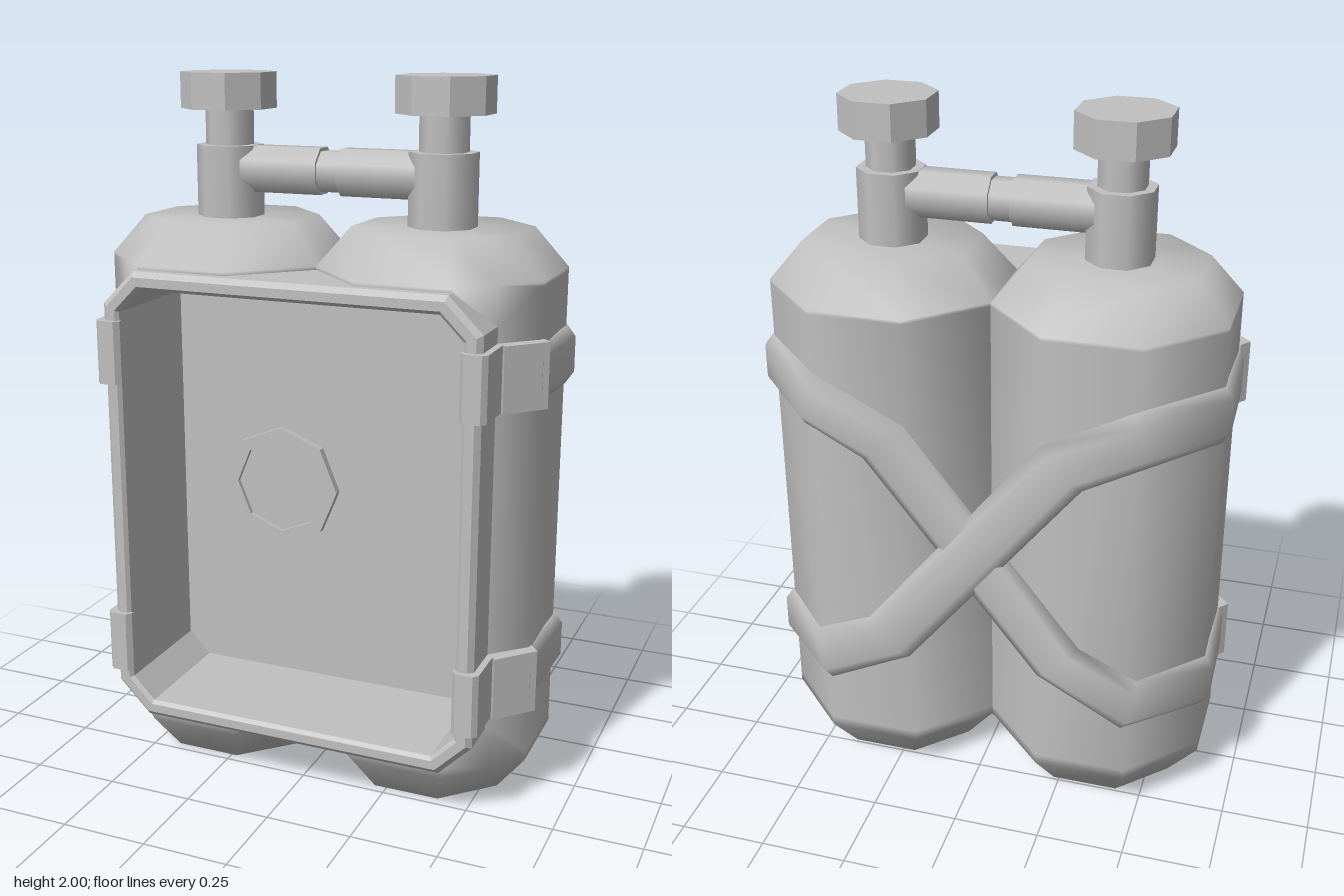
import * as THREE from 'three';

const V = (x, y, z) => new THREE.Vector3(x, y, z);

// Skin between successive closed rings of points
function loft(rings, flat) {
  const n = rings[0].length, idx = [];
  for (let j = 0; j < rings.length - 1; j++) {
    for (let i = 0; i < n; i++) {
      const k = (i + 1) % n;
      const a = j * n + i, b = j * n + k, c = b + n, d = a + n;
      idx.push(a, b, c, a, c, d);
    }
  }
  let g = new THREE.BufferGeometry().setFromPoints(rings.flat());
  g.setIndex(idx);
  if (flat) g = g.toNonIndexed();
  g.computeVertexNormals();
  return g;
}

// Eight-sided tank with an opening where the front tray sits; s = side (+1 / -1)
function tankGeometry(s) {
  const R = 0.346, mid = Math.cos(Math.PI / 8);
  // angle, radius factor, opening bottom, opening top, is on the opening
  const cols = [
    [22.5, 1, 0.15, 1.48, 0], [45, mid, 0.26, 1.38, 1], [67.5, 1, 0.15, 1.48, 1],
    [112.5, 1, 0.15, 1.48, 1], [157.5, 1, 0.15, 1.48, 1], [180, mid, 0.15, 1.48, 1],
    [202.5, 1, 0.15, 1.48, 0], [247.5, 1, 0.15, 1.48, 0],
    [292.5, 1, 0.15, 1.48, 0], [337.5, 1, 0.15, 1.48, 0],
  ];
  const pts = [], idx = [], rows = 8;
  for (const [deg, f, low, high] of cols) {
    const t = THREE.MathUtils.degToRad(deg);
    const profile = [[0, 0], [0.25, 0], [R, 0.12], [R, low], [R, high], [R, 1.49], [0.25, 1.6], [0, 1.6]];
    for (const [r, y] of profile) {
      pts.push(V(s * (0.32 + r * f * Math.cos(t)), y, r * f * Math.sin(t) - 0.01));
    }
  }
  cols.forEach((col, i) => {
    const k = (i + 1) % cols.length;
    for (let j = 0; j < rows - 1; j++) {
      if (j === 3 && col[4] && cols[k][4]) continue;
      const a = i * rows + j, b = k * rows + j, c = b + 1, d = a + 1;
      if (s > 0) idx.push(a, d, c, a, c, b);
      else idx.push(a, c, d, a, b, c);
    }
  });
  const g = new THREE.BufferGeometry().setFromPoints(pts);
  g.setIndex(idx);
  g.computeVertexNormals();
  return g;
}

// Chamfered rectangle, inset by d, at depth z
function trayRing(d, z) {
  const w = 0.548 - d, h = 0.665 - d, c = 0.095 - 0.586 * d, y = 0.815;
  return [
    [w, -h + c], [w, h - c], [w - c, h], [-w + c, h],
    [-w, h - c], [-w, -h + c], [-w + c, -h], [w - c, -h],
  ].map(([px, py]) => V(px, y + py, z));
}

// Flattened strap running from the top of one side to the bottom of the other
function strapGeometry(s, lift) {
  const half = [
    [0.64, 0.15, 0.43, 0.92, 0.38], [0.65, -0.148, 0.43, 0.92, -0.38],
    [0.462, -0.342, 0.42, 0.38, -0.92], [0.25, -0.342 - lift, 0.315, 0, -1],
  ];
  const other = half.map(([x, z, y, nx, nz]) => [-x, z, -y, -nx, nz]).reverse();
  const path = [...half, ...other].map(([x, z, y, nx, nz]) => ({
    p: V(s * x, 0.815 + y, z), n: V(s * nx, 0, nz),
  }));
  const section = [[-0.016, -0.05], [-0.016, 0.05], [-0.008, 0.083], [0.016, 0.05], [0.016, -0.05], [-0.008, -0.083]]
    .reverse();
  const rings = path.map(({ p, n }, i) => {
    const a = path[Math.max(i - 1, 0)].p, b = path[Math.min(i + 1, path.length - 1)].p;
    const t = b.clone().sub(a).normalize();
    const w = t.clone().cross(n).normalize();
    return section.map(([o, u]) => p.clone().addScaledVector(n, o).addScaledVector(w, u));
  });
  return loft(rings, false);
}

// Outline in x and z, extruded to height h around y
function slab(outline, s, y, h) {
  const shape = new THREE.Shape(outline.map(([x, z]) => new THREE.Vector2(s * x, z)));
  const g = new THREE.ExtrudeGeometry(shape, { depth: h, bevelEnabled: false });
  return g.rotateX(Math.PI / 2).translate(0, y + h / 2, 0);
}

const octagon = (apothem, h) => {
  const r = apothem / Math.cos(Math.PI / 8);
  return new THREE.CylinderGeometry(r, r, h, 8).rotateY(Math.PI / 8);
};

export function createModel() {
  const model = new THREE.Group();
  const grey = new THREE.MeshStandardMaterial({ color: 0xc0c0c0 });
  grey.name = 'light grey';
  const body = new THREE.Group();
  body.name = 'twinTankPack';
  body.position.x = -0.01;
  model.add(body);
  const add = (name, g, x = 0, y = 0, z = 0) => {
    const m = new THREE.Mesh(g, grey);
    m.name = name;
    m.position.set(x, y, z);
    body.add(m);
    return m;
  };

  for (const s of [1, -1]) {
    const side = s > 0 ? 'left' : 'right';
    // Tank and its valve
    add(side + 'Tank', tankGeometry(s));
    add(side + 'ValveNeck', octagon(0.088, 0.2), s * 0.32, 1.7, -0.005);
    add(side + 'ValveStem', octagon(0.063, 0.12), s * 0.32, 1.85, -0.005);
    const knob = octagon(0.125, 0.1).toNonIndexed();
    knob.computeVertexNormals();
    add(side + 'ValveKnob', knob, s * 0.322, 1.95, -0.005);
    // Half of the connecting pipe
    add(side + 'Pipe', octagon(0.064, 0.23).rotateZ(Math.PI / 2), s * 0.145, 1.735, -0.005);

    // Clips hooking the straps to the tray
    for (const y of [1.25, 0.38]) {
      add(side + 'Clip', slab([
        [0.54, 0.2], [0.566, 0.2], [0.566, 0.35], [0.553, 0.365],
        [0.505, 0.365], [0.492, 0.35], [0.492, 0.34], [0.54, 0.34],
      ], s, y, 0.18));
      add(side + 'StrapEnd', slab([[0.55, 0.2], [0.575, 0.24], [0.668, 0.14], [0.645, 0.11]], s, y, 0.18));
    }
    add('backStrap', strapGeometry(s, s > 0 ? 0 : 0.014));
  }
  add('pipeJoint', octagon(0.055, 0.08).rotateZ(Math.PI / 2), 0, 1.735, -0.005);

  // Open tray: outer wall, bevelled rim and inner wall
  add('trayWalls', loft([
    trayRing(0, -0.01), trayRing(0, 0.335), trayRing(0.015, 0.35),
    trayRing(0.04, 0.35), trayRing(0.05, 0.34), trayRing(0.05, -0.01),
  ], true));
  const floor = new THREE.Shape(trayRing(0.05, 0).map((p) => new THREE.Vector2(p.x, p.y)));
  add('trayFloor', new THREE.ShapeGeometry(floor), 0, 0, -0.01);

  // Octagonal badge at the front of the tray
  const ring = (r, z) => Array.from({ length: 8 }, (_, i) =>
    V(r * Math.cos(i * Math.PI / 4), r * Math.sin(i * Math.PI / 4), z));
  add('badge', loft([
    ring(0, 0.343), ring(0.163, 0.343), ring(0.163, 0.365),
    ring(0.128, 0.365), ring(0.128, 0.352), ring(0, 0.352),
  ], true), 0, 0.93, 0);
  return model;
}
